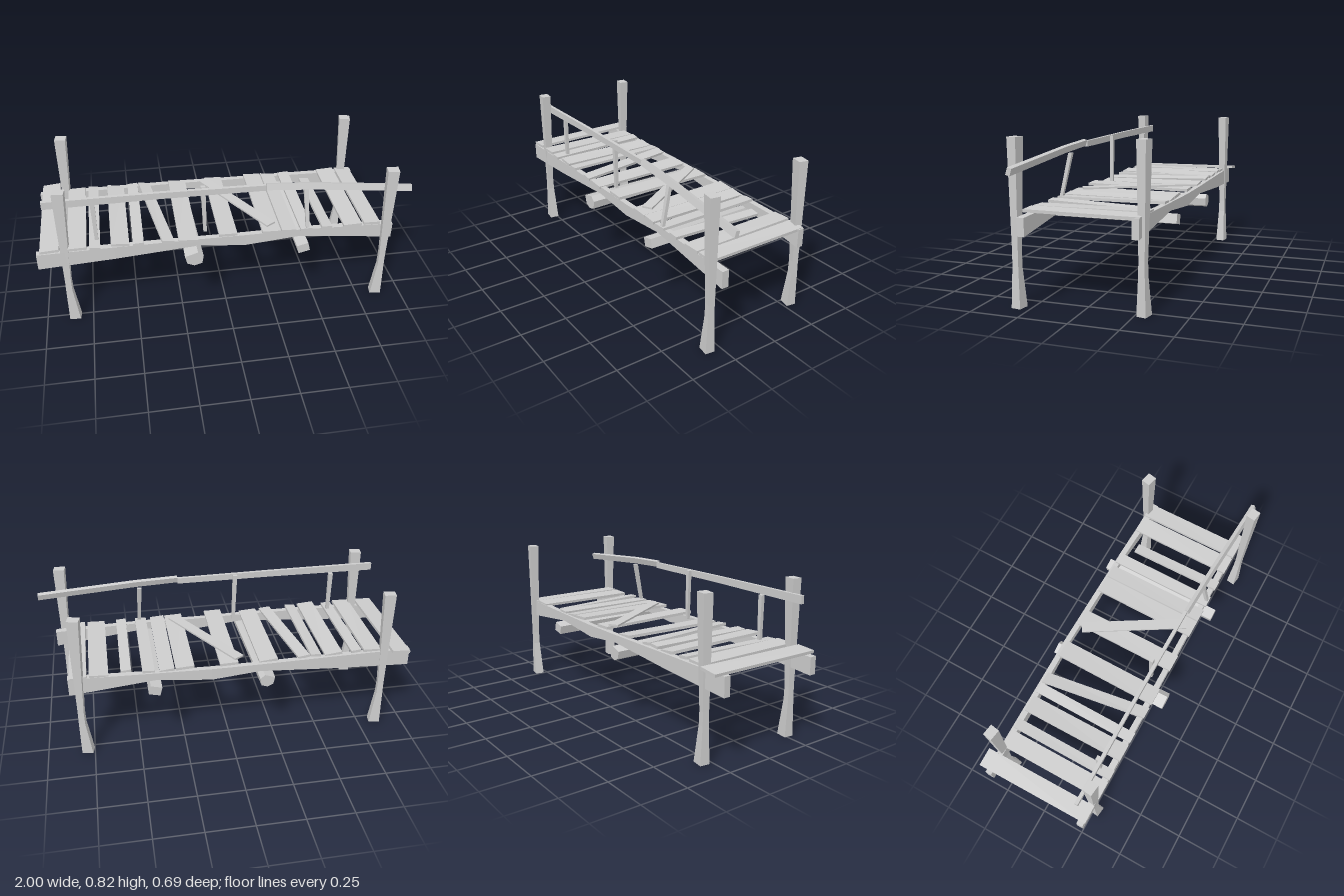
import * as THREE from 'three';

const wood = new THREE.MeshStandardMaterial({ color: 0xcccccc, flatShading: true });
wood.name = 'weathered grey wood';

const SQUARE = [[-0.5, -0.5], [0.5, -0.5], [0.5, 0.5], [-0.5, 0.5]];

// Closed solid through a list of rings with equal point counts
function loft(rings) {
  const n = rings[0].length, tris = [];
  for (let r = 0; r < rings.length - 1; r++) {
    for (let i = 0; i < n; i++) {
      const j = (i + 1) % n, a = rings[r], b = rings[r + 1];
      tris.push([a[i], a[j], b[j]], [a[i], b[j], b[i]]);
    }
  }
  const first = rings[0], last = rings[rings.length - 1];
  for (let i = 1; i < n - 1; i++) {
    tris.push([first[0], first[i + 1], first[i]], [last[0], last[i], last[i + 1]]);
  }
  // The sign of the volume tells whether faces must be turned outward
  let volume = 0;
  const c = new THREE.Vector3();
  for (const [p, q, s] of tris) volume += p.dot(c.crossVectors(q, s));
  const pos = [];
  for (const [p, q, s] of tris) {
    for (const v of volume < 0 ? [p, s, q] : [p, q, s]) pos.push(v.x, v.y, v.z);
  }
  const g = new THREE.BufferGeometry();
  g.setAttribute('position', new THREE.Float32BufferAttribute(pos, 3));
  g.computeVertexNormals();
  return g;
}

// Rough timber along one axis; each section is [x, y, z, width, depth, roll]
function timber(name, axis, sections, outline = SQUARE) {
  const rings = sections.map(([x, y, z, w, d, roll = 0]) => outline.map(([u, v]) => {
    const cs = Math.cos(roll), sn = Math.sin(roll);
    const a = u * w * cs - v * d * sn, b = u * w * sn + v * d * cs;
    if (axis === 'x') return new THREE.Vector3(x, y + b, z + a);
    if (axis === 'y') return new THREE.Vector3(x + a, y, z + b);
    return new THREE.Vector3(x + a, y + b, z);
  }));
  const mesh = new THREE.Mesh(loft(rings), wood);
  mesh.name = name;
  return mesh;
}

export function createModel() {
  const model = new THREE.Group();
  model.name = 'brokenFootbridge';

  // Posts, pinched at the waist: x, z, roll, waist shift in x
  const posts = [
    ['frontLeftPost', 0.862, 0.312, 0.15, 0.01],
    ['frontRightPost', -0.846, 0.265, 0.12, -0.012],
    ['backLeftPost', 0.785, -0.292, 0.2, 0.014],
    ['backRightPost', -0.846, -0.292, 0.15, -0.012],
  ];
  for (const [name, x, z, roll, s] of posts) {
    model.add(timber(name, 'y', [
      [x, 0.004, z, 0.06, 0.05, roll],
      [x + s, 0.2, z, 0.034, 0.035, roll],
      [x + s, 0.27, z, 0.032, 0.033, roll],
      [x, 0.823, z, 0.06, 0.05, roll],
    ]));
  }

  // Long side beams, thin where they rest on the cross logs
  model.add(timber('frontBeam', 'x', [
    [-1.0, 0.415, 0.266, 0.036, 0.092],
    [-0.6, 0.43, 0.268, 0.034, 0.075],
    [-0.16, 0.447, 0.268, 0.03, 0.042],
    [0.1, 0.432, 0.266, 0.03, 0.066],
    [0.4, 0.447, 0.266, 0.03, 0.042],
    [0.92, 0.41, 0.266, 0.038, 0.09],
  ]));
  model.add(timber('backBeam', 'x', [
    [-1.0, 0.425, -0.285, 0.034, 0.1],
    [-0.6, 0.435, -0.29, 0.034, 0.078],
    [-0.16, 0.45, -0.297, 0.03, 0.042],
    [0.1, 0.435, -0.294, 0.03, 0.066],
    [0.4, 0.45, -0.288, 0.03, 0.042],
    [0.85, 0.425, -0.272, 0.036, 0.1],
  ]));

  // Cross logs under the beams
  const hexagon = [[-0.5, 0.25], [-0.38, -0.3], [0, -0.5], [0.42, -0.34], [0.5, 0.2], [0.2, 0.5]];
  model.add(timber('crossLog', 'z', [
    [-0.195, 0.385, -0.345, 0.08, 0.075],
    [-0.186, 0.386, 0.345, 0.1, 0.084],
  ], hexagon));
  model.add(timber('crossLog', 'z', [
    [0.405, 0.39, -0.345, 0.062, 0.05, 0.25],
    [0.406, 0.39, 0.345, 0.064, 0.05, 0.25],
  ]));

  // Deck planks: back x, front x, width, back z, front z, back y, front y, tilt
  const planks = [
    [-0.935, -0.93, 0.1, -0.345, 0.29, 0.487, 0.48, 0.1],
    [-0.79, -0.79, 0.098, -0.292, 0.292, 0.48, 0.482, 0.03],
    [-0.698, -0.698, 0.057, -0.292, 0.292, 0.484, 0.474, -0.1],
    [-0.57, -0.567, 0.095, -0.292, 0.292, 0.478, 0.484, -0.12],
    [-0.47, -0.472, 0.058, -0.292, 0.292, 0.482, 0.478, 0.08],
    [-0.405, -0.315, 0.064, -0.292, 0.292, 0.48, 0.474, -0.16],
    [-0.21, -0.21, 0.1, -0.292, 0.292, 0.475, 0.468, -0.1],
    [0.004, 0.004, 0.098, -0.292, 0.292, 0.478, 0.484, -0.03],
    [0.24, 0.24, 0.1, -0.292, 0.292, 0.48, 0.476, -0.06],
    [0.335, 0.335, 0.08, -0.292, 0.292, 0.474, 0.474, -0.12],
    [0.432, 0.432, 0.064, -0.292, 0.292, 0.476, 0.472, 0.06],
    [0.548, 0.545, 0.056, -0.235, 0.292, 0.456, 0.474, -0.1],
    [0.69, 0.69, 0.1, -0.292, 0.292, 0.476, 0.472, 0.05],
    [0.798, 0.798, 0.09, -0.292, 0.292, 0.473, 0.474, -0.05],
  ];
  const deck = new THREE.Group();
  deck.name = 'deck';
  for (const [xb, xf, w, zb, zf, yb, yf, tilt] of planks) {
    deck.add(timber('plank', 'z', [
      [xb, yb, zb, w, 0.015, tilt],
      [xf, yf, zf, w, 0.015, tilt * 0.6],
    ]));
  }
  model.add(deck);

  // Loose board lying diagonally over the deck
  const loose = new THREE.Mesh(new THREE.BoxGeometry(0.058, 0.01, 0.585), wood);
  loose.name = 'looseBoard';
  loose.position.set(0.095, 0.493, -0.008);
  loose.rotation.y = 0.54;
  model.add(loose);

  // Handrail, snapped into two pieces
  model.add(timber('handrail', 'x', [
    [-0.94, 0.733, 0.234, 0.018, 0.042],
    [-0.35, 0.735, 0.234, 0.018, 0.036],
    [0.21, 0.731, 0.238, 0.018, 0.032],
  ]));
  model.add(timber('brokenHandrail', 'x', [
    [0.21, 0.738, 0.244, 0.02, 0.034, 0.3],
    [0.45, 0.725, 0.252, 0.02, 0.036, 0.3],
    [0.995, 0.677, 0.276, 0.022, 0.036, 0.3],
  ]));

  // Balusters: foot x, y, z then head x, y, z
  const balusters = [
    [-0.687, 0.47, 0.215, -0.689, 0.715, 0.213],
    [-0.11, 0.47, 0.212, -0.118, 0.75, 0.21],
    [0.44, 0.47, 0.28, 0.428, 0.705, 0.228],
  ];
  for (const [x0, y0, z0, x1, y1, z1] of balusters) {
    model.add(timber('baluster', 'y', [
      [x0, y0, z0, 0.018, 0.018],
      [x1, y1, z1, 0.024, 0.02],
    ]));
  }
  return model;
}
